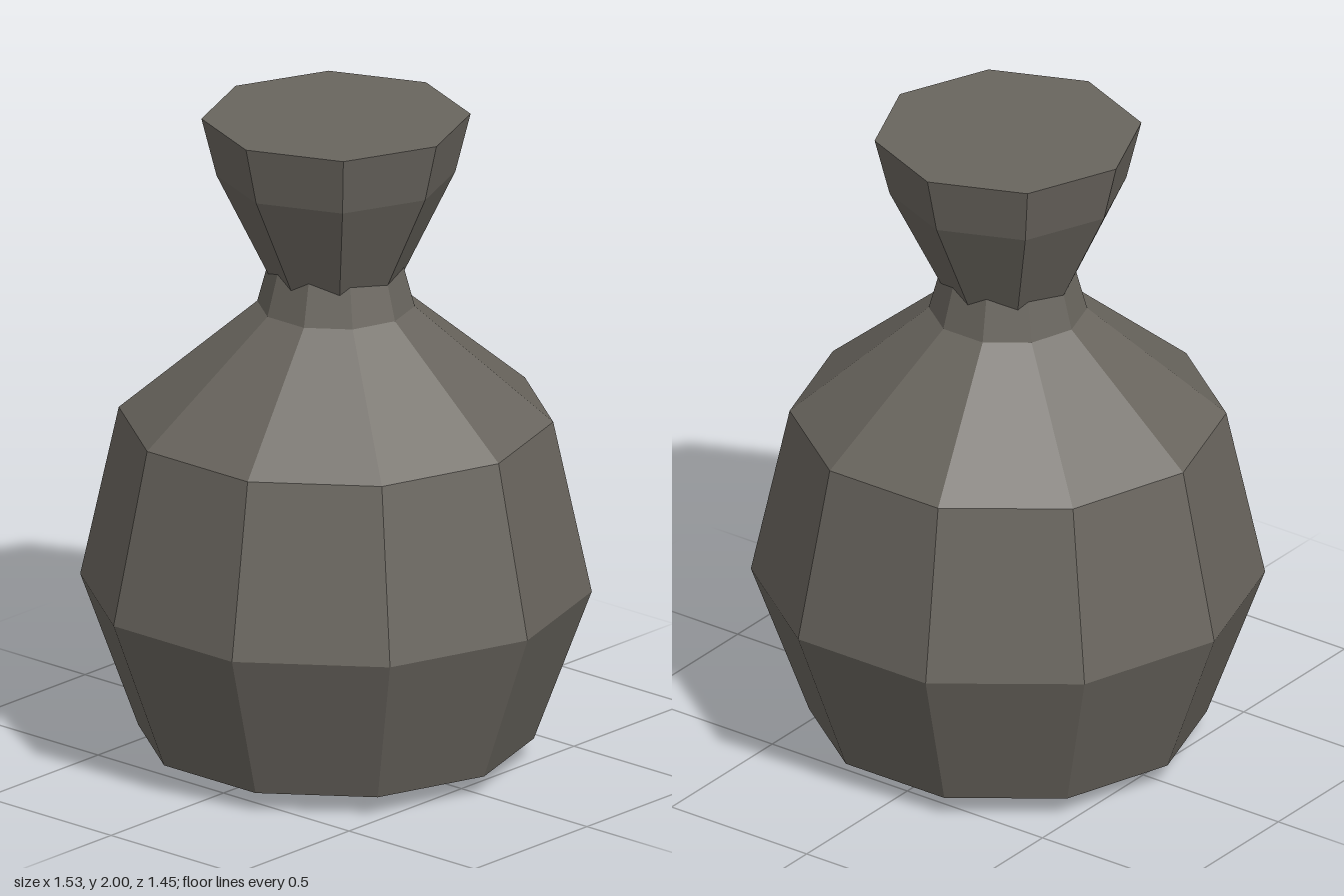
import * as THREE from 'three';

const material = new THREE.MeshStandardMaterial({ color: 0x69655e, flatShading: true });

// Faceted solid of revolution with a corner on the +x axis; profile runs bottom to top.
function facetedLathe(name, profile, sides) {
  const points = profile.map(([r, y]) => new THREE.Vector2(r, y));
  const geometry = new THREE.LatheGeometry(points, sides);
  geometry.rotateY(Math.PI / 2);
  const mesh = new THREE.Mesh(geometry, material);
  mesh.name = name;
  return mesh;
}

export function createModel() {
  const group = new THREE.Group();
  group.name = 'flask';

  // Ten-sided body with a shallow pointed base; the neck runs up into the stopper.
  group.add(facetedLathe('body', [
    [0, 0], [0.59, 0.06], [0.763, 0.53], [0.648, 1.06],
    [0.235, 1.41], [0.2, 1.54], [0, 1.54],
  ], 10));

  // Eight-sided flared stopper, sunk into the neck.
  group.add(facetedLathe('stopper', [
    [0, 1.42], [0.159, 1.42], [0.355, 1.82], [0.4, 2], [0, 2],
  ], 8));

  return group;
}
